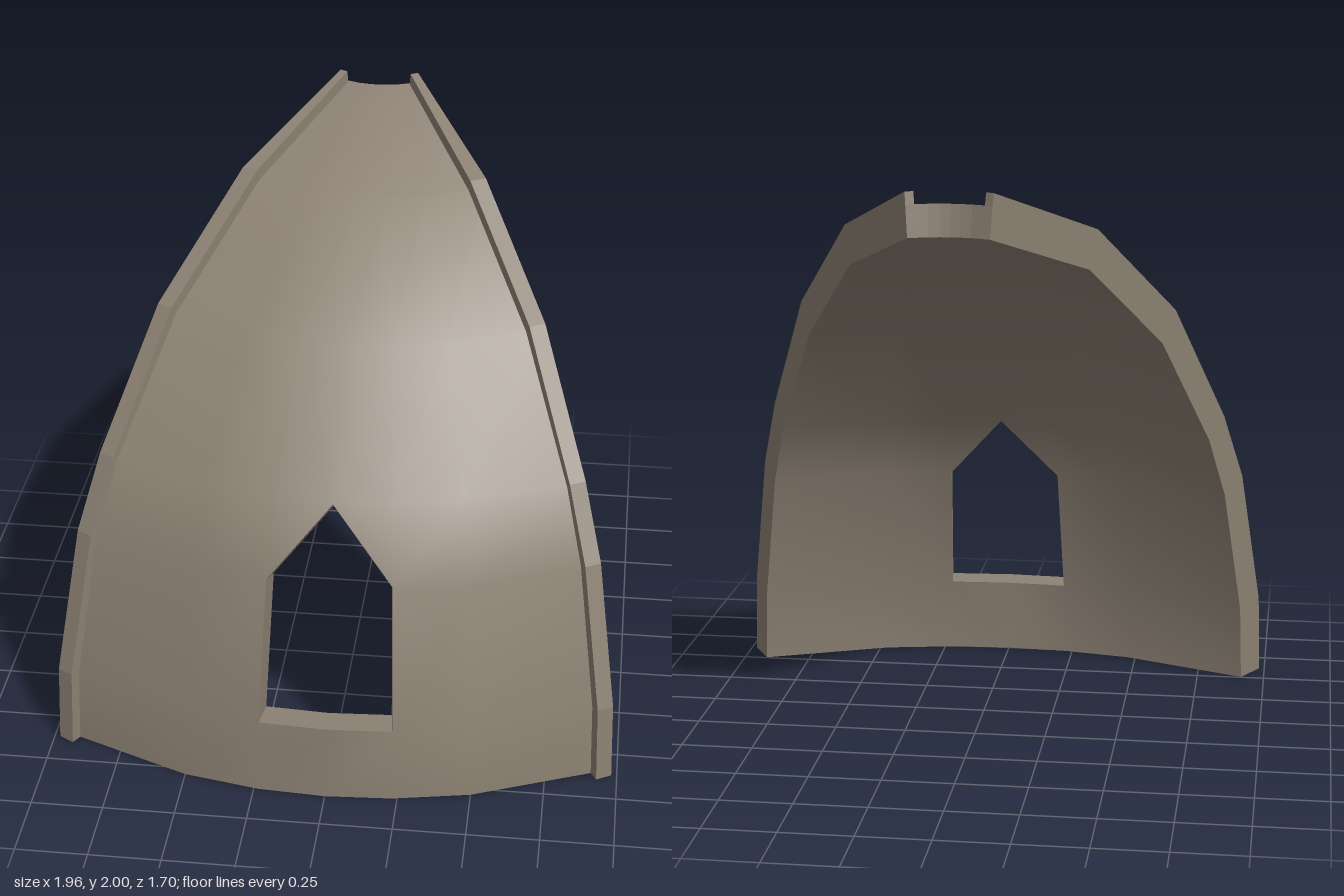
import * as THREE from 'three';

const AXIS_Z = -1.08;
const COLUMNS = [-30, -15, -6.9, 0, 6.9, 15, 30].map(THREE.MathUtils.degToRad);

// Profiles as [radius, height], from the foot to the crown
const OUTER = [[1.93, 0], [1.915, 0.275], [1.783, 0.775], [1.66, 1.02], [1.32, 1.45], [0.85, 1.78], [0.275, 1.96]];
const INNER = [[1.83, 0], [1.813, 0.27], [1.686, 0.74], [1.57, 0.97], [1.253, 1.375], [0.808, 1.69], [0.263, 1.855]];
const RIB = [[1.962, 0], [1.945, 0.285], [1.805, 0.79], [1.67, 1.04], [1.335, 1.48], [0.855, 1.82], [0.283, 2]];
const ROWS = OUTER.length;

const point = ([r, y], angle) => [r * Math.sin(angle), y, AXIS_Z + r * Math.cos(angle)];

// Flat-shaded geometry from four-cornered faces
function facesGeometry(quads) {
  const positions = quads.flatMap(([a, b, c, d]) => [a, b, c, a, c, d].flat());
  const geometry = new THREE.BufferGeometry();
  geometry.setAttribute('position', new THREE.Float32BufferAttribute(positions, 3));
  geometry.computeVertexNormals();
  return geometry;
}

// Smooth dome segment skin, leaving the gabled window open
function skinGeometry(profile, inward) {
  const n = COLUMNS.length;
  const positions = profile.flatMap((p) => COLUMNS.flatMap((angle) => point(p, angle)));
  const index = [];
  const tri = (a, b, c) => index.push(...(inward ? [a, c, b] : [a, b, c]));
  for (let row = 0; row < ROWS - 1; row++) {
    for (let col = 0; col < n - 1; col++) {
      const a = row * n + col, b = a + 1, d = a + n, c = d + 1;
      const middle = col === 2 || col === 3;
      if (middle && row === 1) continue;
      if (middle && row === 2) {
        if (col === 2) tri(a, c, d);
        else tri(b, c, d);
        continue;
      }
      tri(a, b, c);
      tri(a, c, d);
    }
  }
  const geometry = new THREE.BufferGeometry();
  geometry.setAttribute('position', new THREE.Float32BufferAttribute(positions, 3));
  geometry.setIndex(index);
  geometry.computeVertexNormals();
  return geometry;
}

// Strip joining the outer and inner skins along a path of [column, row]
function edgeGeometry(path) {
  const quads = [];
  for (let i = 0; i < path.length - 1; i++) {
    const [c0, r0] = path[i], [c1, r1] = path[i + 1];
    quads.push([
      point(OUTER[r0], COLUMNS[c0]), point(OUTER[r1], COLUMNS[c1]),
      point(INNER[r1], COLUMNS[c1]), point(INNER[r0], COLUMNS[c0]),
    ]);
  }
  return facesGeometry(quads);
}

// Raised rib along one straight side, with its outer face closing the shell
function ribGeometry(side) {
  const angle = side * Math.PI / 6;
  const offset = ([x, y, z], t) => [x - side * t * Math.cos(angle), y, z + t * 0.5];
  const sections = RIB.map((p, i) => {
    const t = i === ROWS - 1 ? 0.03 : 0.06;
    const sunk = [(OUTER[i][0] + INNER[i][0]) / 2, (OUTER[i][1] + INNER[i][1]) / 2];
    return [point(INNER[i], angle), point(p, angle), offset(point(p, angle), t), offset(point(sunk, angle), t)];
  });
  const quads = [[...sections[0]], [...sections[ROWS - 1]].reverse()];
  for (let i = 0; i < ROWS - 1; i++) {
    for (let k = 0; k < 4; k++) {
      const j = (k + 1) % 4;
      quads.push([sections[i][j], sections[i][k], sections[i + 1][k], sections[i + 1][j]]);
    }
  }
  if (side < 0) quads.forEach((q) => q.reverse());
  return facesGeometry(quads);
}

export function createModel() {
  const group = new THREE.Group();
  group.name = 'domeSegment';
  const stone = new THREE.MeshStandardMaterial({ color: 0x8c8173 });
  stone.name = 'stone';
  const add = (name, geometry) => {
    const mesh = new THREE.Mesh(geometry, stone);
    mesh.name = name;
    group.add(mesh);
  };

  // Curved shell
  add('outerShell', skinGeometry(OUTER, false));
  add('innerShell', skinGeometry(INNER, true));

  // Foot, crown and window edges
  const across = COLUMNS.map((_, col) => col);
  add('crownEdge', edgeGeometry(across.map((col) => [col, ROWS - 1])));
  add('footEdge', edgeGeometry(across.map((col) => [col, 0]).reverse()));
  add('windowReveal', edgeGeometry([[2, 1], [3, 1], [4, 1], [4, 2], [3, 3], [2, 2], [2, 1]]));

  // Side ribs
  add('leftRib', ribGeometry(1));
  add('rightRib', ribGeometry(-1));

  return group;
}
